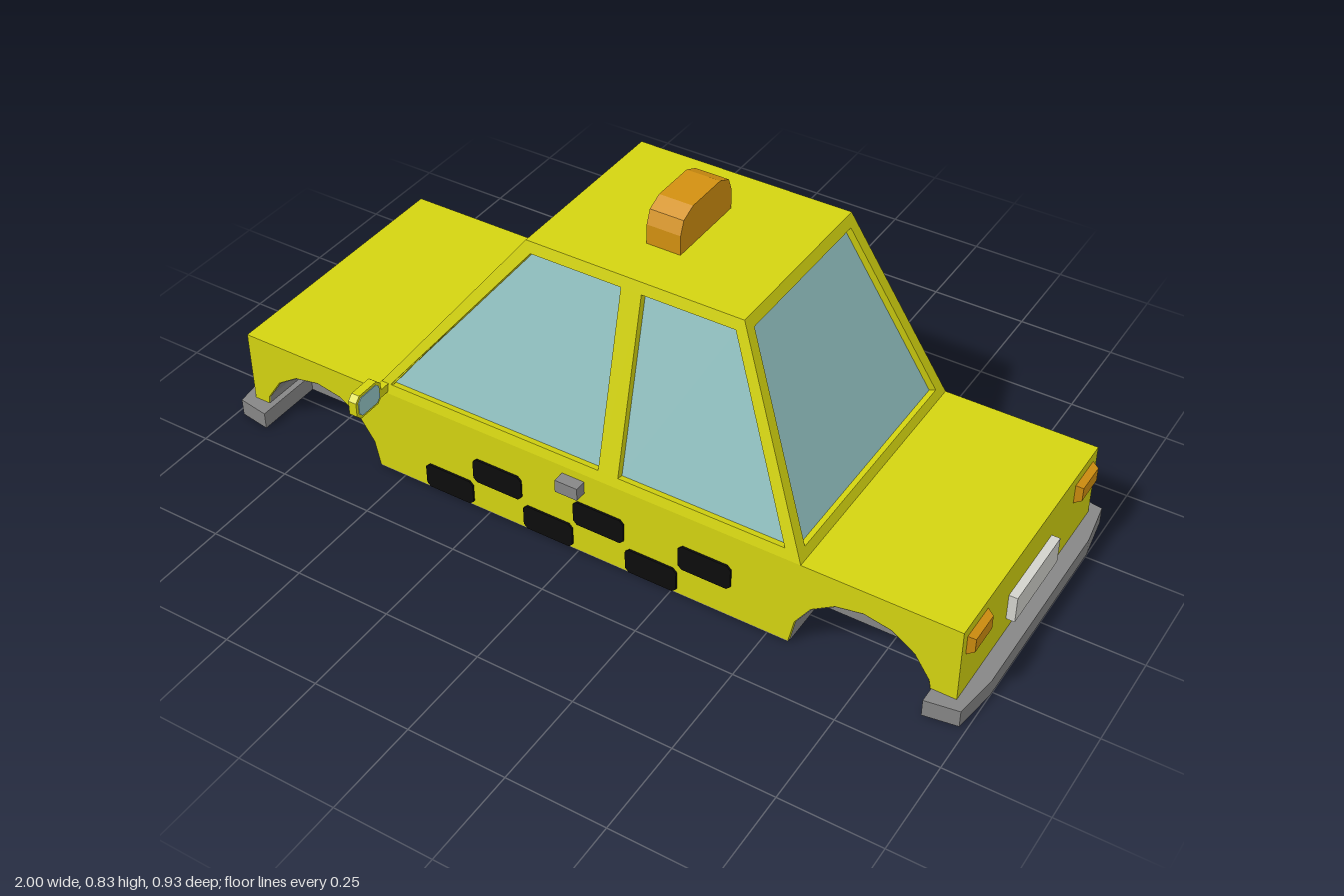
import * as THREE from 'three';

const mat = (name, color) => new THREE.MeshStandardMaterial({ name, color, side: THREE.DoubleSide });

export function createModel() {
  const car = new THREE.Group();
  car.name = 'taxi';
  const yellow = mat('yellow paint', 0xd4d410);
  const glass = mat('window glass', 0x94c5c5);
  const grey = mat('grey trim', 0x868686);
  const black = mat('black check', 0x0c0c0c);
  const orange = mat('orange lamp', 0xd29010);
  const red = mat('red lamp', 0xc0300c);
  const white = mat('plate white', 0xd2d2cc);

  const add = (name, geometry, material, x = 0, y = 0, z = 0, parent = car) => {
    const mesh = new THREE.Mesh(geometry, material);
    mesh.name = name;
    mesh.position.set(x, y, z);
    parent.add(mesh);
    return mesh;
  };
  const flat = (g) => {
    const f = g.index ? g.toNonIndexed() : g;
    f.computeVertexNormals();
    return f;
  };
  const box = (w, h, d) => new THREE.BoxGeometry(w, h, d);
  const poly = (pts) => new THREE.Shape(pts.map(([x, y]) => new THREE.Vector2(x, y)));
  const extrude = (shape, depth) => new THREE.ExtrudeGeometry(shape, { depth, bevelEnabled: false });
  // Rectangle with cut corners, centred on the origin
  const cutRect = (w, h, c) => poly([
    [-w + c, -h], [w - c, -h], [w, -h + c], [w, h - c],
    [w - c, h], [-w + c, h], [-w, h - c], [-w, -h + c]]);

  // Lower body with wheel arches cut from the side profile
  const R = 0.177, W = 0.35, INNER = 0.21, LOW = 0.003, STEPS = 8;
  const arches = [0.73, -0.75];
  const profile = [[-0.96, LOW], [-0.96, 0.24], [0.96, 0.24], [0.96, LOW]];
  for (const cx of arches) {
    for (let i = 0; i <= STEPS; i++) {
      const a = (i / STEPS) * Math.PI;
      profile.push([cx + R * Math.cos(a), Math.max(LOW, R * Math.sin(a))]);
    }
  }
  add('lowerBody', extrude(poly(profile), 2 * W), yellow, 0, 0, -W);

  // Arch liners and the inner walls behind them
  const halfDrum = (r, len, open) => flat(
    new THREE.CylinderGeometry(r, r, len, STEPS, 1, open, Math.PI / 2, Math.PI).rotateX(Math.PI / 2));
  for (const cx of arches) {
    add('archLiner', halfDrum(R - 0.002, 2 * W - 0.002, true), grey, cx);
    add('archInnerWall', halfDrum(R - 0.003, 2 * INNER, false), grey, cx);
  }

  // Floor
  add('floorCentre', box(1.126, LOW, 2 * W), grey, -0.01, LOW / 2);
  add('floorSpine', box(1.9, LOW, 2 * INNER), grey, 0, LOW / 2);

  // Cabin panel: leaning frame with recessed glass; points are [across, height]
  const BASE = 0.24, TOP = 0.735;
  const panel = (name, outline, windows, lean, x, z, yaw) => {
    const stretch = Math.hypot(lean, TOP - BASE) / (TOP - BASE);
    const local = (pts) => pts.map(([h, y]) => [h, (y - BASE) * stretch]);
    const group = new THREE.Group();
    group.name = name;
    group.position.set(x, BASE, z);
    group.rotation.set(-Math.atan2(lean, TOP - BASE), yaw, 0, 'YXZ');
    const shape = poly(local(outline));
    for (const w of windows) {
      shape.holes.push(poly(local(w)));
      add('windowGlass', new THREE.ShapeGeometry(poly(local(w))), glass, 0, 0, -0.018, group);
    }
    add('windowFrame', extrude(shape, 0.025), yellow, 0, 0, -0.025, group);
    car.add(group);
  };
  const endOutline = [[-W, BASE], [W, BASE], [0.236, TOP], [-0.236, TOP]];
  const endWindow = [[-0.315, 0.263], [0.315, 0.263], [0.214, 0.709], [-0.214, 0.709]];
  panel('rearWindow', endOutline, [endWindow], 0.218, 0.575, 0, Math.PI / 2);
  panel('windshield', endOutline, [endWindow], 0.375, -0.57, 0, -Math.PI / 2);
  const sideOutline = [[-0.57, BASE], [0.575, BASE], [0.357, TOP], [-0.195, TOP]];
  const sideWindows = [
    [[-0.525, 0.265], [0.055, 0.265], [0.055, 0.707], [-0.18, 0.707]],
    [[0.107, 0.265], [0.532, 0.265], [0.34, 0.707], [0.107, 0.707]]];
  const flip = (pts) => pts.map(([h, y]) => [-h, y]);
  panel('sideWindowsLeft', sideOutline, sideWindows, 0.114, 0, W, 0);
  panel('sideWindowsRight', flip(sideOutline), sideWindows.map(flip), 0.114, 0, -W, Math.PI);
  add('roof', box(0.552, 0.012, 0.472), yellow, 0.081, TOP - 0.006);

  // Roof sign
  const sign = extrude(poly([[-0.108, 0], [0.108, 0], [0.108, 0.05], [0.095, 0.083],
    [0.057, 0.1], [-0.057, 0.1], [-0.095, 0.083], [-0.108, 0.05]]), 0.086);
  add('roofSign', sign.rotateY(Math.PI / 2), orange, 0.036, TOP, 0);

  // Bumper, lamps and plate at each end
  const bumper = extrude(poly([[0.9, -0.39], [0.983, -0.377], [1, -0.26], [1, 0.26],
    [0.983, 0.377], [0.9, 0.39]]), 0.045).rotateX(Math.PI / 2);
  const lampShape = box(0.104, 0.056, 0.022);
  const p = lampShape.attributes.position;
  for (let i = 0; i < p.count; i++) {
    if (p.getZ(i) > 0) p.setXY(i, p.getX(i) * 0.8, p.getY(i) * 0.66);
  }
  const lamp = flat(lampShape.rotateY(Math.PI / 2));
  for (const [name, yaw, lampMat] of [['rearEnd', 0, orange], ['frontEnd', Math.PI, red]]) {
    const end = new THREE.Group();
    end.name = name;
    end.rotation.y = yaw;
    add('bumper', bumper, grey, 0, 0.045, 0, end);
    add('numberPlate', box(0.022, 0.07, 0.226), white, 0.97, 0.12, 0, end);
    for (const s of [1, -1]) add('lamp', lamp, lampMat, 0.966, 0.188, s * 0.279, end);
    car.add(end);
  }

  // Checks, door handles and mirrors on both sides
  const check = extrude(cutRect(0.068, 0.034, 0.01), 0.006);
  const mirrorShell = extrude(cutRect(0.046, 0.033, 0.014), 0.022).rotateY(Math.PI / 2);
  const mirrorFace = extrude(cutRect(0.038, 0.026, 0.01), 0.004).rotateY(Math.PI / 2);
  for (const s of [1, -1]) {
    for (let i = 0; i < 6; i++) {
      add('check', check, black, -0.362 + i * 0.14, i % 2 ? 0.118 : 0.04, s * (W + 0.002) - 0.003);
    }
    add('doorHandle', box(0.06, 0.034, 0.04), grey, -0.01, 0.202, s * 0.36);
    add('mirrorStem', box(0.02, 0.022, 0.05), yellow, -0.542, 0.254, s * 0.36);
    add('mirrorShell', mirrorShell, yellow, -0.553, 0.267, s * 0.419);
    add('mirrorGlass', mirrorFace, glass, -0.533, 0.267, s * 0.419);
  }
  return car;
}
